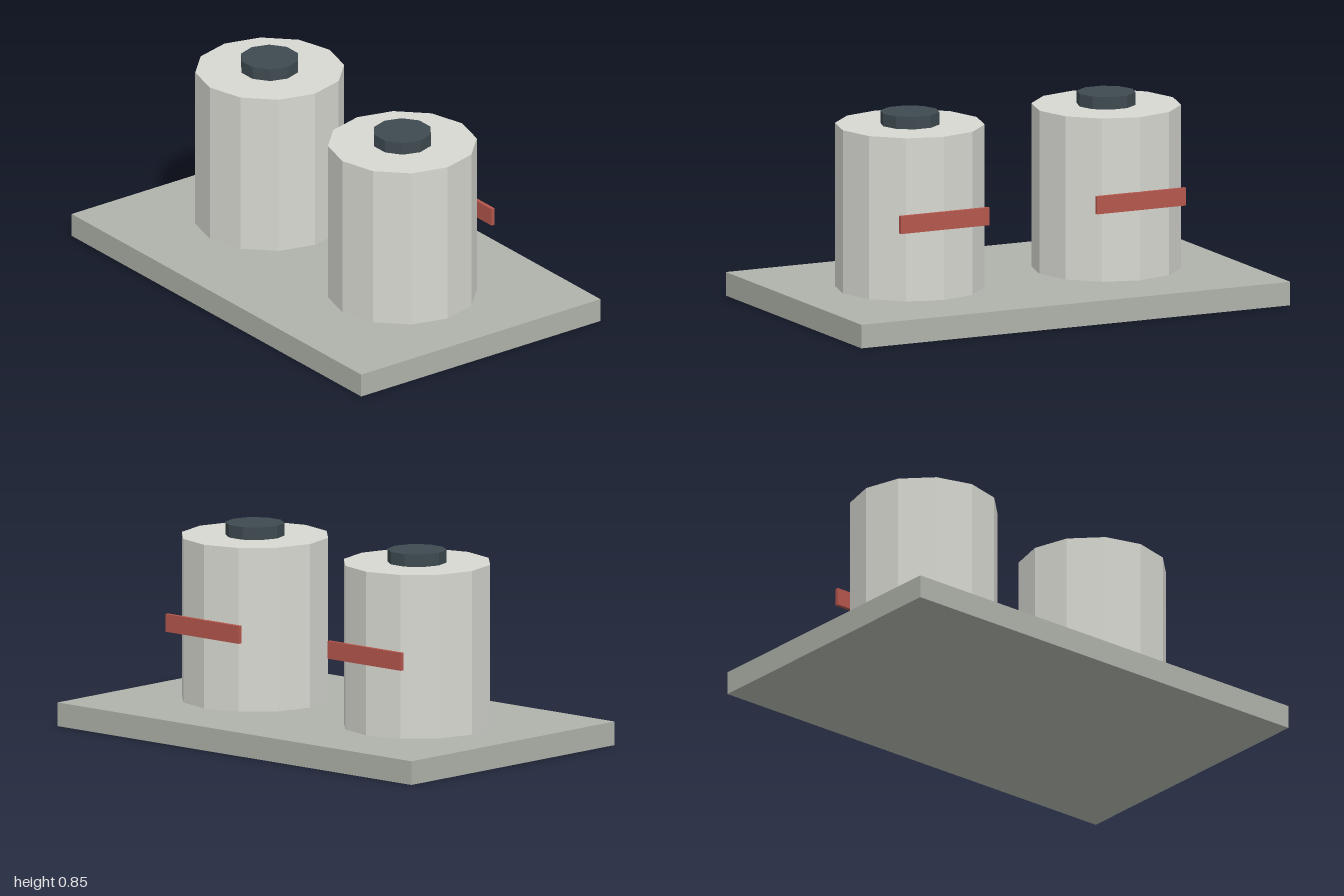
import * as THREE from 'three';

const paint = (name, color) => {
  const m = new THREE.MeshStandardMaterial({ color, flatShading: true });
  m.name = name;
  return m;
};

export function createModel() {
  const concrete = paint('concrete grey', 0xb0b3ab);
  const shell = paint('pale grey', 0xd8d8d2);
  const dark = paint('dark slate', 0x3e4a50);
  const red = paint('brick red', 0xb5574d);

  const add = (parent, name, geometry, material, x, y, z) => {
    const mesh = new THREE.Mesh(geometry, material);
    mesh.name = name;
    mesh.position.set(x, y, z);
    parent.add(mesh);
    return mesh;
  };

  const model = new THREE.Group();
  model.name = 'twinTanks';

  // Ground slab
  add(model, 'slab', new THREE.BoxGeometry(2, 0.1, 1.246), concrete, 0, 0.05, 0);

  // Two tanks, each with a cap on top and a red band plate at the back
  for (const side of [-1, 1]) {
    const tank = new THREE.Group();
    tank.name = side < 0 ? 'rightTank' : 'leftTank';
    tank.position.x = side * 0.458;
    model.add(tank);

    add(tank, 'tankBody', new THREE.CylinderGeometry(0.312, 0.312, 0.692, 12), shell, 0, 0.446, 0);
    const cap = add(tank, 'cap', new THREE.CylinderGeometry(0.124, 0.124, 0.053, 10), dark, 0, 0.8185, 0);
    cap.rotation.y = Math.PI / 2;
    add(tank, 'backPlate', new THREE.BoxGeometry(0.414, 0.075, 0.016), red, 0, 0.438, -0.317);
  }
  return model;
}
